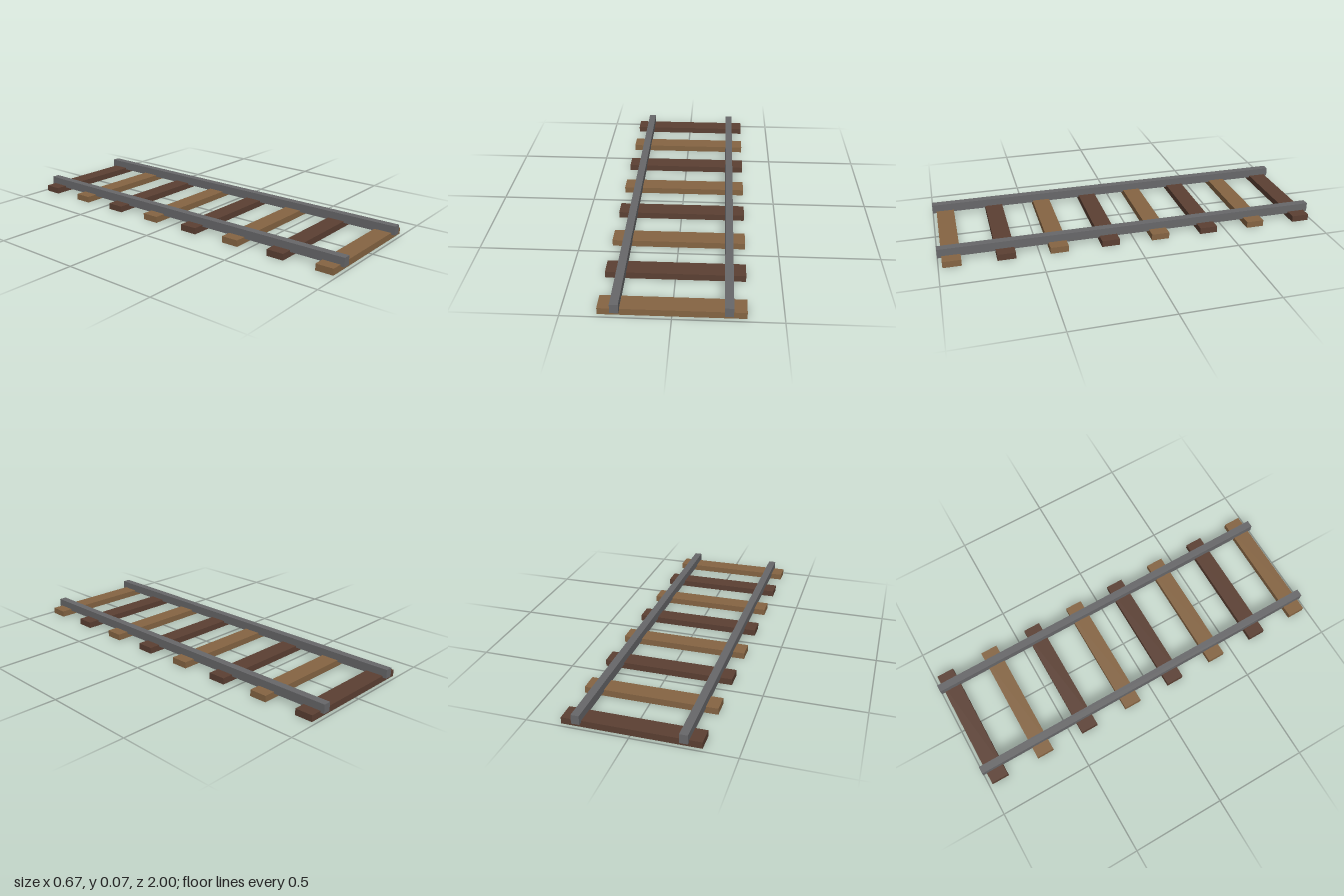
import * as THREE from 'three';

export function createModel() {
  const track = new THREE.Group();
  track.name = 'railTrack';

  const material = (name, color) => {
    const m = new THREE.MeshStandardMaterial({ color });
    m.name = name;
    return m;
  };
  const lightWood = material('lightWood', 0x866543);
  const darkWood = material('darkWood', 0x5c4033);
  const steel = material('steel', 0x68686a);

  const addPart = (name, geometry, mat, x, y, z) => {
    const mesh = new THREE.Mesh(geometry, mat);
    mesh.name = name;
    mesh.position.set(x, y, z);
    track.add(mesh);
  };

  // Cross ties, alternating dark and light from the back
  const tieCount = 8;
  const tieSpacing = 0.2667;
  const tieHeight = 0.0333;
  const tieGeometry = new THREE.BoxGeometry(0.6667, tieHeight, 0.0933);
  for (let i = 0; i < tieCount; i++) {
    const z = (i - (tieCount - 1) / 2) * tieSpacing;
    addPart(`tie${i + 1}`, tieGeometry, i % 2 ? lightWood : darkWood, 0, tieHeight / 2, z);
  }

  // Two rails, slightly sunk into the ties
  const railGeometry = new THREE.BoxGeometry(0.04, 0.0467, 2);
  addPart('leftRail', railGeometry, steel, 0.2533, 0.0475, 0);
  addPart('rightRail', railGeometry, steel, -0.2533, 0.0475, 0);

  return track;
}
